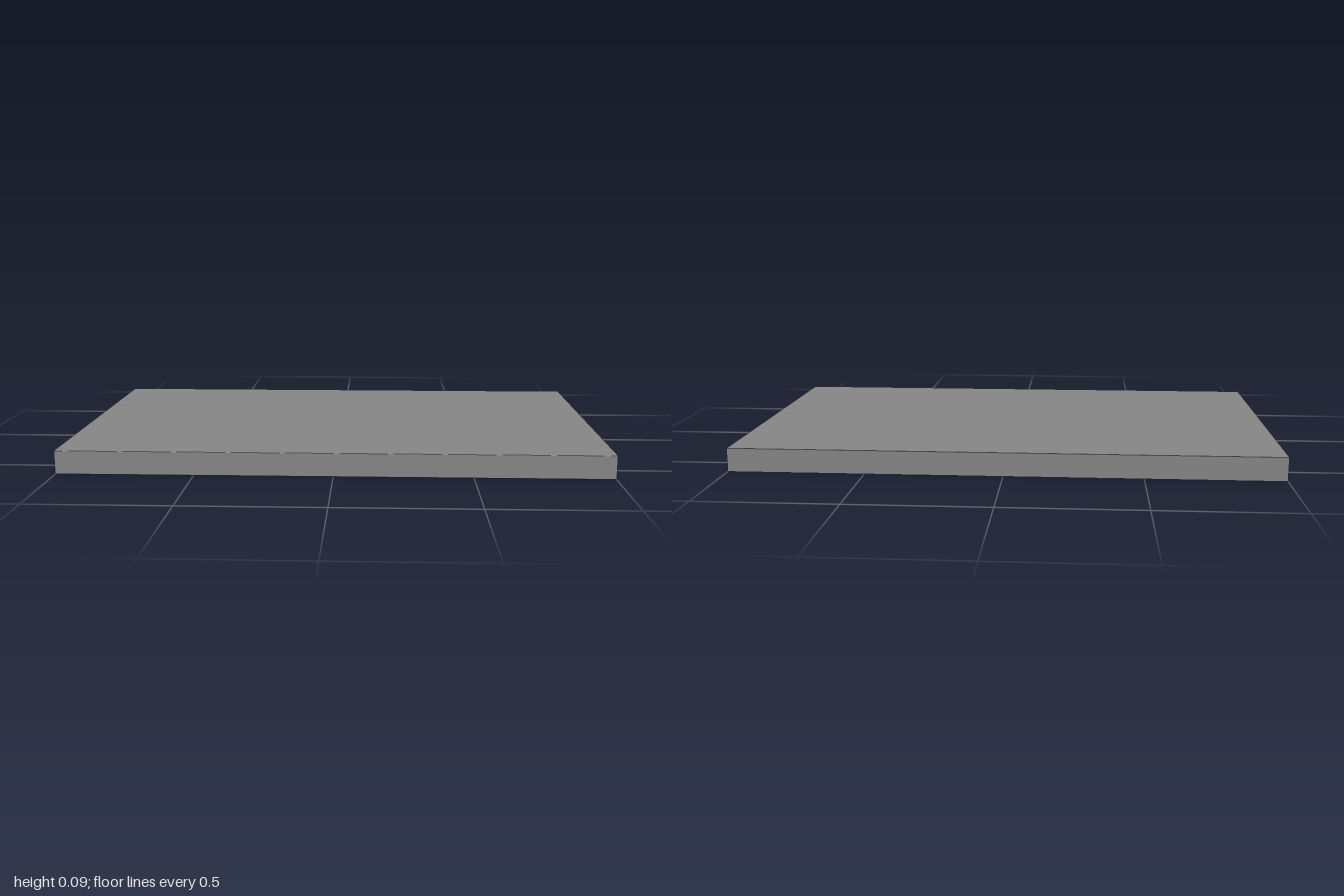
import * as THREE from 'three';

const H = 0.087, D = 0.627;            // board thickness, half depth
const POCKET = 0.049, SLOT = 0.0118;   // pocket depth, half slot width
const R = 0.029, INSET = 0.036;        // hole radius and its distance from the end
const LIP = D - 0.01;                  // where the eased front edge begins
const A = Math.asin(SLOT / R);
const material = new THREE.MeshStandardMaterial({ color: 0x868686 });

// Remove triangles lying wholly in a joint plane, so no faces stay inside the board
function openAt(geometry, axis, value) {
  const geo = geometry.index ? geometry.toNonIndexed() : geometry;
  const p = geo.attributes.position, k = 'xyz'.indexOf(axis), kept = [];
  for (let i = 0; i < p.count; i += 3) {
    const flat = [0, 1, 2].every((j) => Math.abs(p.getComponent(i + j, k) - value) < 1e-5);
    if (flat) continue;
    for (let j = 0; j < 3; j++) kept.push(p.getX(i + j), p.getY(i + j), p.getZ(i + j));
  }
  const out = new THREE.BufferGeometry();
  out.setAttribute('position', new THREE.Float32BufferAttribute(kept, 3));
  out.computeVertexNormals();
  return out;
}

// Keyhole pocket outline entering from the end at x = side
function traceKeyhole(path, side, z) {
  const turn = side > 0 ? 0 : Math.PI;
  path.lineTo(side, z - side * SLOT);
  path.absarc(side * (1 - INSET), z, R, turn - A, turn + A, true);
  path.lineTo(side, z + side * SLOT);
}

export function createModel() {
  const group = new THREE.Group();
  const add = (name, geo) => {
    const mesh = new THREE.Mesh(geo, material);
    mesh.name = name;
    group.add(mesh);
  };

  // Lower half of the board, cut by four keyhole pockets
  const outline = new THREE.Shape();
  outline.moveTo(-1, -D);
  outline.lineTo(1, -D);
  for (const z of [-0.36, 0.54]) traceKeyhole(outline, 1, z);
  outline.lineTo(1, LIP);
  outline.lineTo(-1, LIP);
  for (const z of [0.54, -0.36]) traceKeyhole(outline, -1, z);
  const lower = new THREE.ExtrudeGeometry(outline, { depth: POCKET, bevelEnabled: false, curveSegments: 24 });
  lower.rotateX(Math.PI / 2).translate(0, POCKET, 0);
  add('lowerBoard', openAt(openAt(lower, 'y', POCKET), 'z', LIP));

  // Solid upper half
  const upper = new THREE.BoxGeometry(2, H - POCKET, LIP + D);
  upper.translate(0, (H + POCKET) / 2, (LIP - D) / 2);
  add('upperBoard', openAt(openAt(upper, 'y', POCKET), 'z', LIP));

  // Ceilings of the pockets
  for (const side of [-1, 1]) {
    for (const z of [-0.36, 0.54]) {
      const hole = new THREE.Shape();
      hole.moveTo(side, z + side * SLOT);
      traceKeyhole(hole, side, z);
      const ceiling = new THREE.ShapeGeometry(hole, 24);
      ceiling.rotateX(Math.PI / 2).translate(0, POCKET, 0);
      add('pocketCeiling', ceiling);
    }
  }

  // Front edge with slightly eased corners
  const r = 0.003;
  const profile = new THREE.Shape();
  profile.moveTo(LIP, 0);
  profile.absarc(D - r, r, r, -Math.PI / 2, 0, false);
  profile.absarc(D - r, H - r, r, 0, Math.PI / 2, false);
  profile.lineTo(LIP, H);
  const lip = new THREE.ExtrudeGeometry(profile, { depth: 2, bevelEnabled: false, curveSegments: 2 });
  lip.rotateY(-Math.PI / 2).translate(1, 0, 0);
  add('frontEdge', openAt(lip, 'z', LIP));

  return group;
}
